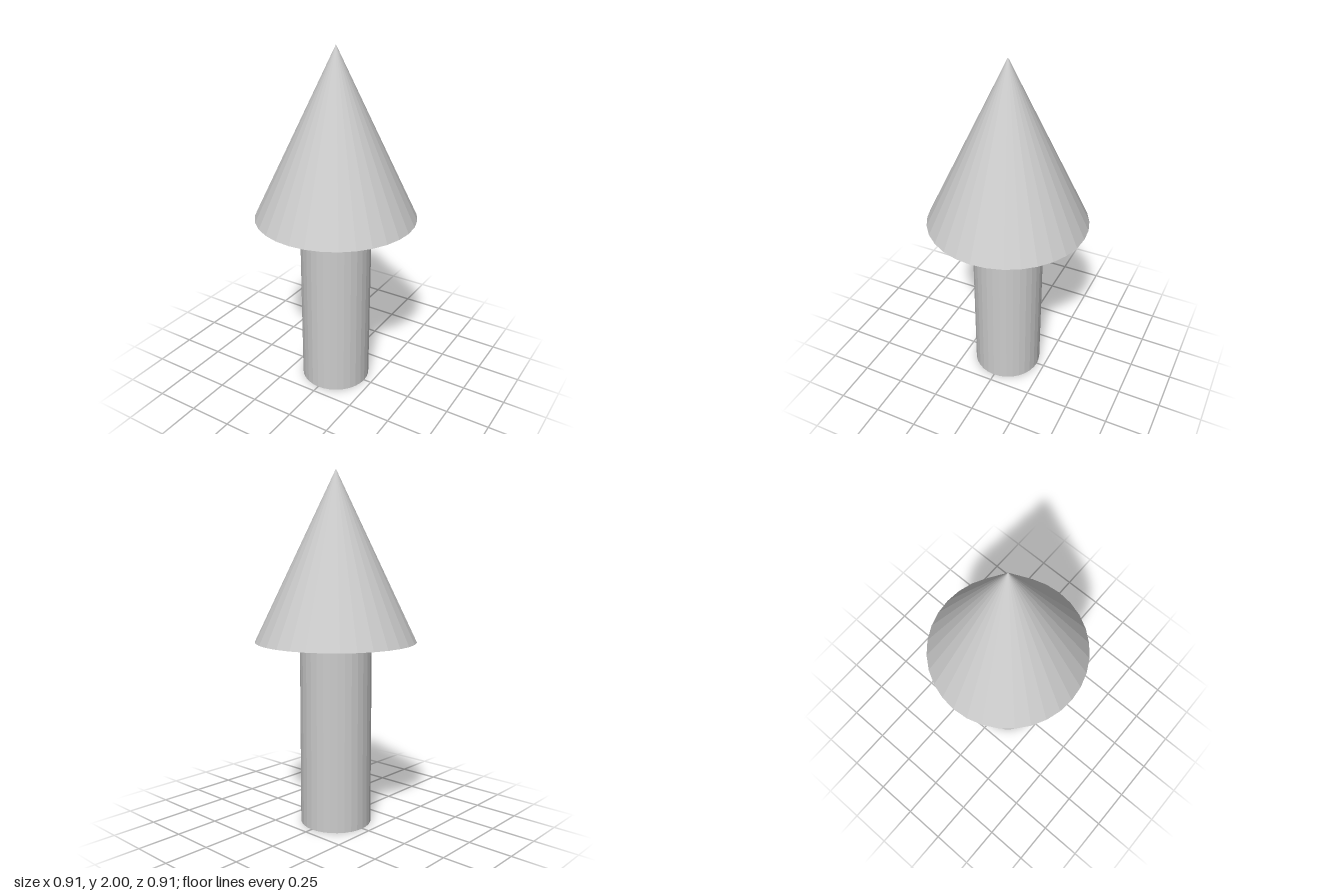
import * as THREE from 'three';

const SIDES = 32;
const BASE_Y = 1.055; // height where the cone meets the shaft

export function createModel() {
  const model = new THREE.Group();
  model.name = 'arrow';
  const material = new THREE.MeshStandardMaterial({ color: 0xcccccc, flatShading: true });

  const addPart = (name, geometry, y) => {
    const mesh = new THREE.Mesh(geometry, material);
    mesh.name = name;
    mesh.position.y = y;
    model.add(mesh);
  };

  // Round shaft standing on the ground
  addPart('shaft', new THREE.CylinderGeometry(0.203, 0.203, BASE_Y, SIDES), BASE_Y / 2);

  // Pointed head with a closed underside
  const headHeight = 2 - BASE_Y;
  addPart('head', new THREE.ConeGeometry(0.455, headHeight, SIDES), BASE_Y + headHeight / 2);

  return model;
}
